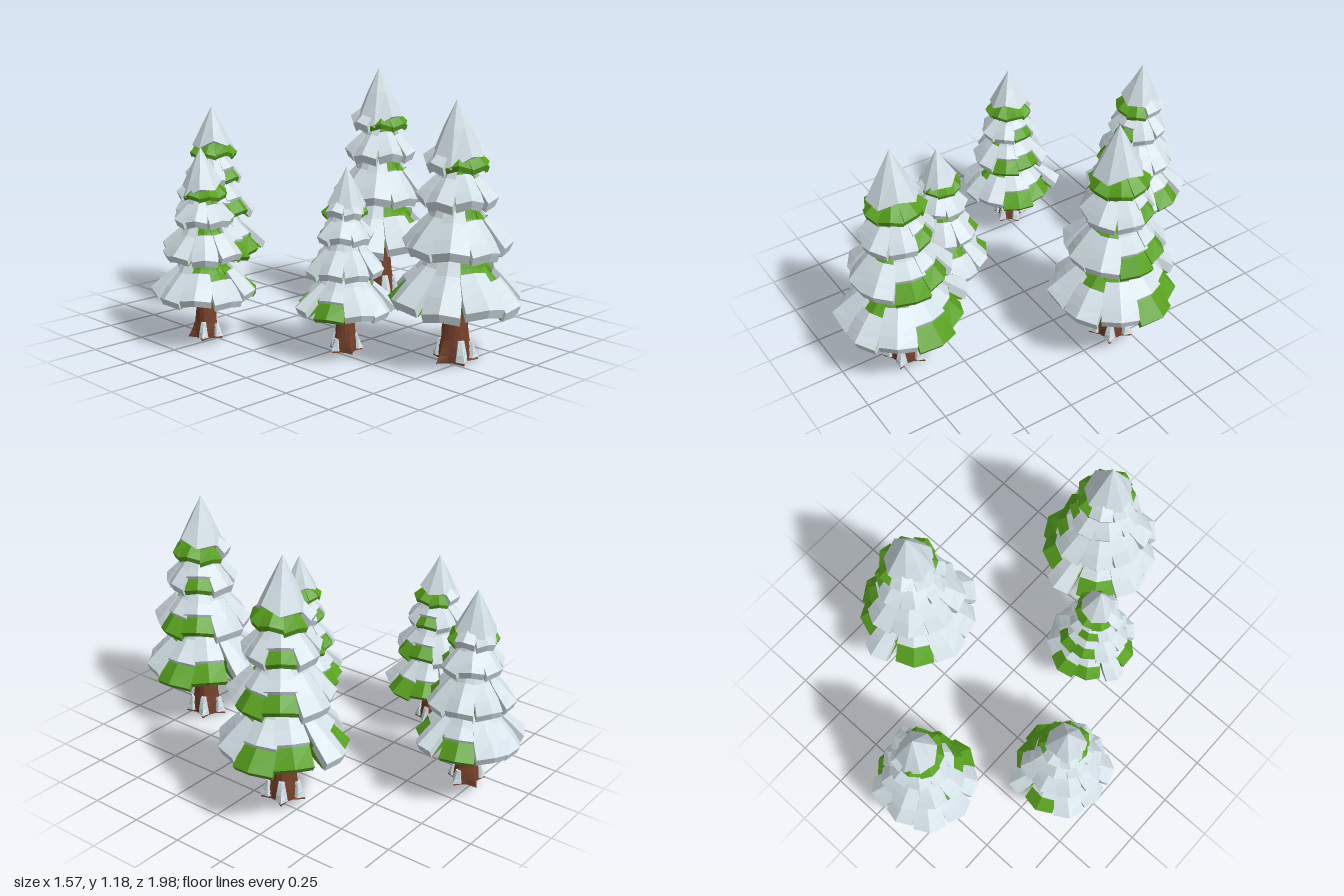
import * as THREE from 'three';
import { mergeGeometries } from 'three/addons/utils/BufferGeometryUtils.js';

const snow = new THREE.MeshStandardMaterial({ color: 0xd3e0e6 });
snow.name = 'snow';
const needles = new THREE.MeshStandardMaterial({ color: 0x58a01e });
needles.name = 'needle green';
const bark = new THREE.MeshStandardMaterial({ color: 0x76412b });
bark.name = 'bark brown';

const rad = THREE.MathUtils.degToRad;
const lerp = THREE.MathUtils.lerp;
// angle in degrees, measured clockwise from the back when seen from above
const polar = (deg, r, y) => [Math.sin(rad(deg)) * r, y, -Math.cos(rad(deg)) * r];

// point on a [radius, height] profile at t = 0..1
function along(profile, t) {
  const f = t * (profile.length - 1);
  const i = Math.min(Math.floor(f), profile.length - 2);
  return [0, 1].map((c) => lerp(profile[i][c], profile[i + 1][c], f - i));
}

// closed faceted solid between an outer (k = 0) and an inner (k = 1) surface
function slab(fn, nu, nv) {
  const pos = [];
  const p = (i, j) => fn(i / nu, j / nv, 0);
  const q = (i, j) => fn(i / nu, j / nv, 1);
  const quad = (a, b, c, d) => pos.push(...a, ...b, ...c, ...a, ...c, ...d);
  for (let i = 0; i < nu; i++) {
    for (let j = 0; j < nv; j++) {
      quad(p(i, j), p(i + 1, j), p(i + 1, j + 1), p(i, j + 1));
      quad(q(i, j), q(i, j + 1), q(i + 1, j + 1), q(i + 1, j));
    }
    quad(p(i + 1, 0), p(i, 0), q(i, 0), q(i + 1, 0));
    quad(p(i, nv), p(i + 1, nv), q(i + 1, nv), q(i, nv));
  }
  for (let j = 0; j < nv; j++) {
    quad(p(nu, j + 1), p(nu, j), q(nu, j), q(nu, j + 1));
    quad(p(0, j), p(0, j + 1), q(0, j + 1), q(0, j));
  }
  const g = new THREE.BufferGeometry();
  g.setAttribute('position', new THREE.Float32BufferAttribute(pos, 3));
  g.computeVertexNormals();
  return g;
}

// upper face of a drooping bough: rounded, tapered at the rim and slightly tilted
function boughPoint(profile, { angle, half, reach, drop }, side, t) {
  const [r, y] = along(profile, t);
  const bend = side * side * t;
  return {
    deg: angle + side * half * (1.06 - 0.14 * t ** 4),
    r: r * lerp(1, reach, t) * (1 - 0.07 * bend),
    y: y - 0.018 * bend - drop * t,
  };
}

// green bough with a shallow underside running in to the trunk
function greenBough(profile, b) {
  const rise = 0.35 * (profile[0][1] - profile[3][1]);
  return slab((u, v, k) => {
    const side = u * 2 - 1;
    const { deg, r, y } = boughPoint(profile, b, side, v);
    if (!k) return polar(deg, b.snowy ? r * (1 - 0.04 * v) : r, y);
    const rim = boughPoint(profile, b, side, 1);
    return polar(deg, lerp(0.035, rim.r * 0.94, v), lerp(profile[3][1] + rise, rim.y - 0.024, v));
  }, 2, 3);
}

// snow slab on a bough, with a thick lip folding over its outer end
function snowBough(profile, b) {
  return slab((u, v, k) => {
    const t = lerp(b.snowStart, b.snowEnd, v);
    const { deg, r, y } = boughPoint(profile, b, u * 2 - 1, t);
    return k ? polar(deg, r - 0.006, y - 0.026) : polar(deg, r + 0.01, y + 0.014);
  }, 2, 3);
}

// each tier flares from its top to its rim; boughs within the bare angles have green ends,
// and snow starts lower down on the exposed front
const TIERS = [
  { name: 'bottomTier', top: [0.09, 0.54], rim: [0.288, 0.285], count: 9, phase: 0, exposed: 0.46,
    bare: [[30, 95], [310, 335]] },
  { name: 'lowerTier', top: [0.07, 0.74], rim: [0.225, 0.52], count: 8, phase: 8, exposed: 0.36,
    bare: [[40, 110]] },
  { name: 'upperTier', top: [0.05, 0.88], rim: [0.162, 0.725], count: 7, phase: 0, exposed: 0.32,
    bare: [[40, 80]] },
  { name: 'topTier', top: [0.03, 1.0], rim: [0.137, 0.88], count: 7, phase: 20, exposed: 0,
    bare: [[0, 260]] },
];

function tierProfile({ top, rim }) {
  const flare = [[0, 0], [0.2, 0.4], [0.66, 0.73], [1, 1]];
  return flare.map(([a, b]) => [lerp(top[0], rim[0], a), lerp(top[1], rim[1], b)]);
}

function tierBoughs({ name, count, phase, exposed, bare }) {
  return Array.from({ length: count }, (_, i) => {
    const angle = phase + (i * 360) / count;
    const snowy = !bare.some(([from, to]) => angle >= from && angle <= to);
    const longest = i === 0 && name === 'bottomTier';
    const front = Math.max(0, Math.cos(rad(angle - 160)));
    return {
      angle,
      snowy,
      half: 180 / count + (longest ? -6 : snowy ? -0.5 : 2),
      reach: longest ? 1.1 : 1.02 + 0.04 * Math.sin(i * 2.4 + count),
      drop: longest ? -0.015 : 0.012 * Math.sin(i * 2.9 + count),
      snowStart: 0.08 + exposed * front,
      snowEnd: snowy ? 1 : 0.64,
    };
  });
}

// trunk radius with five flaring roots
const TRUNK = [[0.045, 0.5], [0.053, 0.22], [0.06, 0.1], [0.078, 0]];
function trunkPoint(deg, t, grow) {
  const [r, y] = along(TRUNK, t);
  const root = 0.028 * t ** 5 * Math.cos(rad(5 * (deg - 58)));
  return polar(deg, r + root + grow, y);
}

function createTree() {
  const tree = new THREE.Group();
  const add = (parent, name, material, parts) => {
    const mesh = new THREE.Mesh(mergeGeometries(parts), material);
    mesh.name = name;
    parent.add(mesh);
  };

  // trunk and the snow lying on its roots
  add(tree, 'trunk', bark, [slab((u, v, k) => {
    const p = trunkPoint(u * 360 + 10, v, 0);
    return k ? [0, p[1], 0] : p;
  }, 15, 9)]);
  add(tree, 'rootSnow', snow, [58, 130, 202, 346].map((a, i) => slab((u, v, k) =>
    trunkPoint(a + (u - 0.5) * lerp(22, 40, v), lerp(0.66 + 0.06 * (i % 2), 0.96, v), k ? -0.012 : 0.01), 2, 3)));

  for (const spec of TIERS) {
    const { name, rim: [rimR, rimY] } = spec;
    const profile = tierProfile(spec);
    const boughs = tierBoughs(spec);
    const tier = new THREE.Group();
    tier.name = name;
    // solid core that closes the gaps between boughs
    const core = [[profile[0][0] * 0.9, profile[0][1]], [profile[1][0] * 0.97, profile[1][1]],
      [rimR * 0.6, lerp(rimY, profile[0][1], 0.3)], [0.04, lerp(rimY, profile[0][1], 0.36)]];
    const greens = [slab((u, v, k) => {
      const [r, y] = along(core, v);
      return polar(u * 360, k ? 0 : r, y);
    }, 10, 3)];
    greens.push(...boughs.map((b) => greenBough(profile, b)));
    add(tier, name + 'Needles', needles, greens);
    // snow resting on the boughs
    const snowed = boughs.filter((b) => b.snowy || name !== 'topTier');
    add(tier, name + 'Snow', snow, snowed.map((b) => snowBough(profile, b)));
    tree.add(tier);
  }

  // pointed snow cap with a ragged rim, lower on one side
  const cap = [[0, 1.145], [0.058, 1.03], [0.117, 0.905]];
  add(tree, 'snowCap', snow, [slab((u, v, k) => {
    const deg = u * 360 + 12;
    let [r, y] = along(cap, v);
    const ragged = 0.03 * Math.sin(rad(deg)) + 0.016 * Math.cos(rad(deg * 4 - 48));
    y += ragged * v * v;
    if (k) { r *= 0.85; y -= 0.012; }
    const p = polar(deg, r, y);
    p[0] -= 0.014;
    return p;
  }, 8, 2)]);
  return tree;
}

export function createModel() {
  const model = new THREE.Group();
  // [name, x, y, z, width scale, height scale, turn]
  const places = [
    ['frontTree', 0.058, 0, 0.7, 1, 1, 3],
    ['rightTree', 0.485, 0.04, -0.165, 1, 1, 0],
    ['leftTree', -0.548, 0.018, -0.27, 0.8, 0.765, 30],
    ['smallTree', -0.232, 0.018, 0.315, 0.74, 0.722, -73],
    ['backTree', -0.115, 0.05, -0.745, 0.84, 0.822, 112],
  ];
  for (const [name, x, y, z, w, h, turn] of places) {
    const tree = createTree();
    tree.name = name;
    tree.position.set(x, y, z);
    tree.scale.set(w, h, w);
    tree.rotation.y = -rad(turn);
    model.add(tree);
  }
  return model;
}
